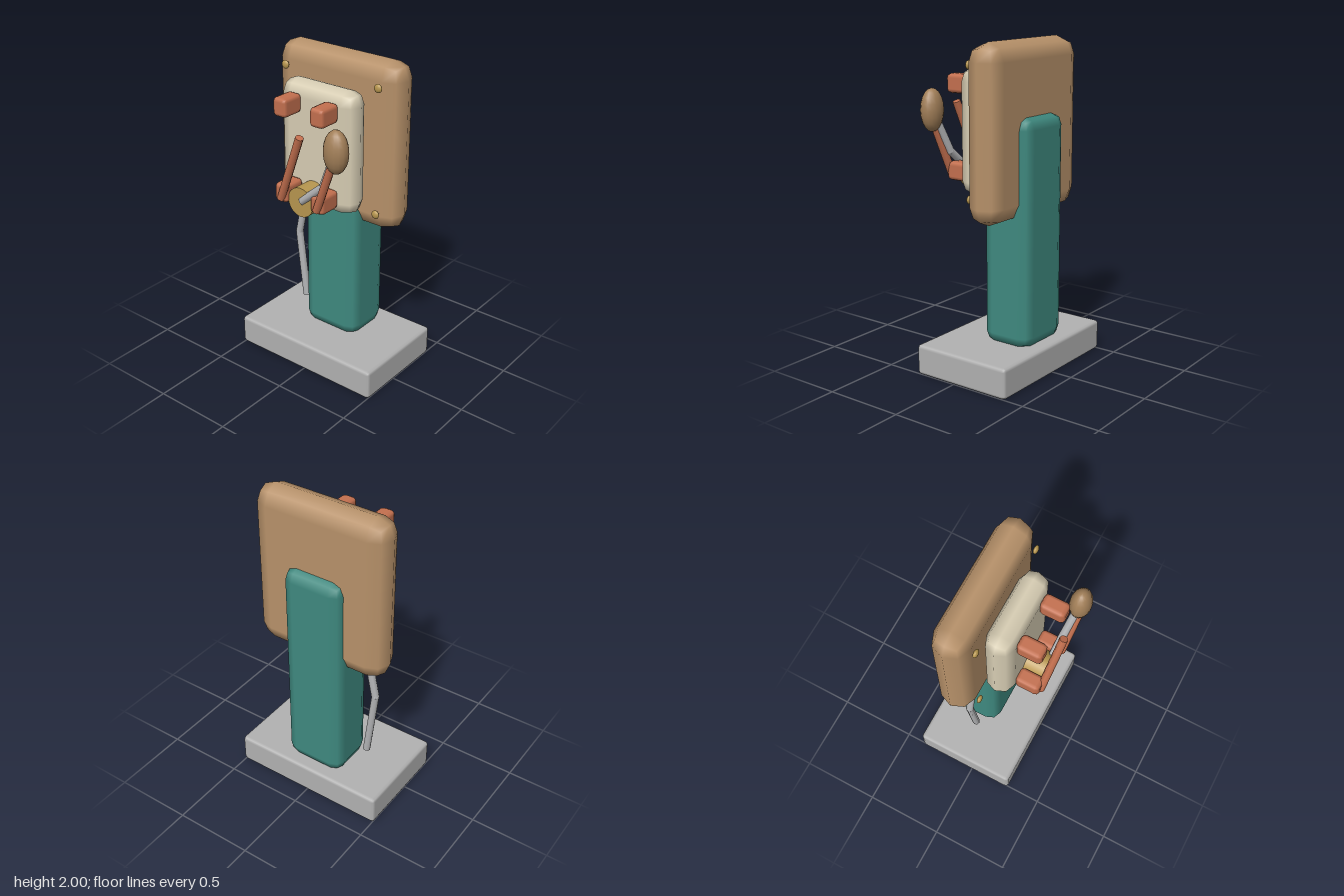
import * as THREE from 'three';

const mat = (name, color) => {
  const m = new THREE.MeshStandardMaterial({ color });
  m.name = name;
  return m;
};

// Box with two-step rounded edges, given by its extents on each axis.
function roundedBox([x0, x1], [y0, y1], [z0, z1], r) {
  const geo = new THREE.BoxGeometry(2, 2, 2, 3, 3, 3);
  const pos = geo.attributes.position, nor = geo.attributes.normal;
  const half = new THREE.Vector3(x1 - x0, y1 - y0, z1 - z0).multiplyScalar(0.5);
  const n = new THREE.Vector3();
  const snap = (v) => (Math.abs(v) > 0.9 ? Math.sign(v) : 0);
  for (let i = 0; i < pos.count; i++) {
    const x = pos.getX(i), y = pos.getY(i), z = pos.getZ(i);
    n.set(snap(x), snap(y), snap(z)).normalize();
    pos.setXYZ(i,
      Math.sign(x) * (half.x - r) + n.x * r,
      Math.sign(y) * (half.y - r) + n.y * r,
      Math.sign(z) * (half.z - r) + n.z * r);
    nor.setXYZ(i, n.x, n.y, n.z);
  }
  return geo.translate((x0 + x1) / 2, (y0 + y1) / 2, (z0 + z1) / 2);
}

// Straight capped rod between two points.
function rod(a, b, r, sides = 8) {
  const p = new THREE.Vector3(...a), q = new THREE.Vector3(...b);
  const d = q.clone().sub(p);
  const geo = new THREE.CylinderGeometry(r, r, d.length(), sides);
  geo.applyQuaternion(new THREE.Quaternion().setFromUnitVectors(
    new THREE.Vector3(0, 1, 0), d.normalize()));
  p.add(q).multiplyScalar(0.5);
  return geo.translate(p.x, p.y, p.z);
}

function ellipsoid([x, y, z], [rx, ry, rz], w = 16, h = 10) {
  return new THREE.SphereGeometry(1, w, h).scale(rx, ry, rz).translate(x, y, z);
}

export function createModel() {
  const model = new THREE.Group();
  const teal = mat('teal paint', 0x3f8a80);
  const wood = mat('wood', 0xb8926a);
  const darkWood = mat('dark wood', 0xa27f58);
  const cream = mat('cream', 0xd8ceb4);
  const copper = mat('copper', 0xc4704f);
  const stone = mat('grey base', 0xb2b2b2);
  const steel = mat('steel', 0xb4b5b7);
  const brass = mat('brass', 0xb8974f);
  const add = (name, geo, material, parent = model) => {
    const mesh = new THREE.Mesh(geo, material);
    mesh.name = name;
    parent.add(mesh);
    return mesh;
  };
  const group = (name) => {
    const g = new THREE.Group();
    g.name = name;
    model.add(g);
    return g;
  };

  // Stand and boards
  add('base', roundedBox([-0.51, 0.51], [0, 0.19], [-0.38, 0.275], 0.022), stone);
  add('post', roundedBox([-0.2, 0.2], [0.17, 1.57], [-0.31, 0.02], 0.075), teal);
  add('backBoard', roundedBox([-0.445, 0.445], [0.955, 2], [-0.25, -0.03], 0.11), wood);
  add('frontPanel', roundedBox([-0.27, 0.27], [1.08, 1.845], [-0.025, 0.15], 0.0875), cream);

  // Brass studs at the board corners
  const studs = group('studs');
  for (const x of [-0.335, 0.335])
    for (const y of [1.09, 1.865])
      add('stud', ellipsoid([x, y, -0.002], [0.026, 0.026, 0.014], 12, 8), brass, studs);

  // Four pegs, with a slanted rod on each lower one
  const pegs = group('pegs');
  for (const x of [-0.133, 0.133]) {
    for (const y of [1.2, 1.728])
      add('peg', roundedBox([x - 0.048, x + 0.048], [y - 0.058, y + 0.058], [0.145, 0.298], 0.025), copper, pegs);
    add('slantedRod', rod([x, 1.165, 0.292], [x + 0.178, 1.605, 0.328], 0.025), copper, pegs);
  }

  // Hub and bent crank with its knob
  add('hub', new THREE.CylinderGeometry(0.092, 0.092, 0.2, 24)
    .rotateX(Math.PI / 2).translate(0, 1.172, 0.175), brass);
  const crank = group('crank');
  const elbow = [0.17, 1.32, 0.277];
  add('crankLower', rod([0.005, 1.18, 0.265], elbow, 0.025), steel, crank);
  add('crankElbow', ellipsoid(elbow, [0.025, 0.025, 0.025], 10, 8), steel, crank);
  add('crankUpper', rod(elbow, [0.28, 1.56, 0.31], 0.025), steel, crank);
  add('knob', ellipsoid([0.29, 1.58, 0.312], [0.078, 0.13, 0.064]), darkWood, crank);

  // Bent lever hanging below the board
  const lever = group('hangingLever');
  const bend = [-0.32, 0.73, -0.09];
  add('leverUpper', rod([-0.26, 1.02, -0.09], bend, 0.024), steel, lever);
  add('leverBend', ellipsoid(bend, [0.024, 0.024, 0.024], 10, 8), steel, lever);
  add('leverLower', rod(bend, [-0.265, 0.28, -0.09], 0.024), steel, lever);

  return model;
}
